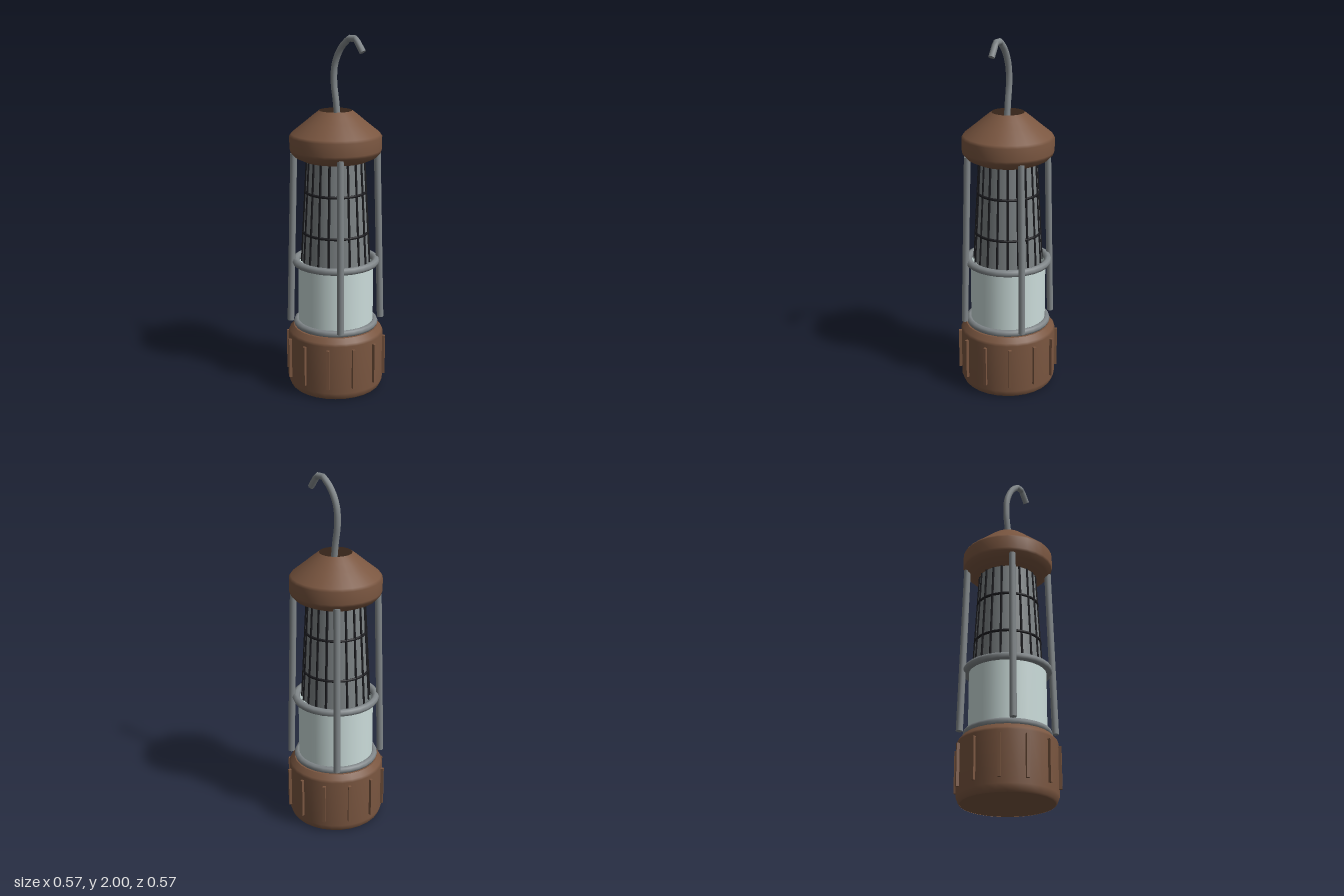
import * as THREE from 'three';

const mat = (name, color, side = THREE.FrontSide) => {
  const m = new THREE.MeshStandardMaterial({ color, side });
  m.name = name;
  return m;
};

export function createModel() {
  const group = new THREE.Group();
  const brown = mat('brown enamel', 0x7a5640, THREE.DoubleSide);
  const steel = mat('steel', 0x81878a);
  const gauze = mat('gauze grey', 0x7c8284, THREE.DoubleSide);
  const wire = mat('dark wire', 0x1c1c20);
  const glass = mat('pale glass', 0xcbdcda, THREE.DoubleSide);
  const brass = mat('brass', 0xc9954f);

  const add = (name, geometry, material, x = 0, y = 0, z = 0) => {
    const mesh = new THREE.Mesh(geometry, material);
    mesh.name = name;
    mesh.position.set(x, y, z);
    group.add(mesh);
    return mesh;
  };
  const lathe = (pts) => new THREE.LatheGeometry(pts.map(([r, y]) => new THREE.Vector2(r, y)), 28);
  const V = (x, y, z) => new THREE.Vector3(x, y, z);
  // straight round bar between two points
  const bar = (name, a, b, r, sides, material) => {
    const mesh = add(name, new THREE.CylinderGeometry(r, r, a.distanceTo(b), sides), material);
    mesh.position.copy(a).add(b).multiplyScalar(0.5);
    mesh.quaternion.setFromUnitVectors(V(0, 1, 0), b.clone().sub(a).normalize());
  };
  const ring = (name, R, r, y, material) => {
    add(name, new THREE.TorusGeometry(R, r, 8, 28), material, 0, y, 0).rotation.x = Math.PI / 2;
  };

  // fuel base with chamfered ends and grip ribs
  add('base', lathe([[0.25, 0], [0.258, 0.008], [0.27, 0.04], [0.27, 0.32], [0.263, 0.335], [0.24, 0.36]]), brown);
  add('baseBottom', new THREE.CircleGeometry(0.25, 28), brown, 0, 0.001, 0).rotation.x = Math.PI / 2;
  add('baseTop', new THREE.CircleGeometry(0.24, 28), brown, 0, 0.36, 0).rotation.x = -Math.PI / 2;
  for (let i = 0; i < 12; i++) {
    const a = (i / 12) * Math.PI * 2;
    add('gripRib', new THREE.BoxGeometry(0.016, 0.23, 0.03), brown,
      Math.sin(a) * 0.27, 0.185, Math.cos(a) * 0.27).rotation.y = a;
  }

  // glass chimney between two rings, with the burner inside
  add('glass', new THREE.CylinderGeometry(0.212, 0.212, 0.36, 32, 1, true), glass, 0, 0.555, 0);
  ring('lowerRing', 0.22, 0.02, 0.378, steel);
  ring('upperRing', 0.225, 0.021, 0.74, steel);
  add('burner', new THREE.SphereGeometry(0.057, 16, 12), brass, 0, 0.5, 0).scale.y = 2.3;

  // tapered gauze bonnet with its wire cage
  const y0 = 0.74, y1 = 1.34, r0 = 0.19, r1 = 0.157;
  const radiusAt = (y) => r0 + (r1 - r0) * (y - y0) / (y1 - y0);
  add('gauzeBonnet', new THREE.CylinderGeometry(r1, r0, y1 - y0, 28, 1, true), gauze, 0, (y0 + y1) / 2, 0);
  for (let i = 0; i < 20; i++) {
    const a = ((i + 0.5) / 20) * Math.PI * 2, s = Math.sin(a), c = Math.cos(a);
    bar('cageWire', V(s * r0, y0, c * r0), V(s * r1, y1, c * r1), 0.007, 6, wire);
  }
  for (const y of [0.91, 1.14]) ring('cageHoop', radiusAt(y), 0.008, y, wire);

  // four leaning guard rods
  for (const sx of [-1, 1]) for (const sz of [-1, 1]) {
    bar('guardRod', V(sx * 0.182, 0.39, sz * 0.182), V(sx * 0.163, 1.355, sz * 0.163), 0.019, 8, steel);
  }

  // hood, open at the crown
  add('hood', lathe([[0.155, 1.315], [0.18, 1.317], [0.225, 1.338], [0.25, 1.365], [0.254, 1.38],
    [0.254, 1.45], [0.244, 1.465], [0.17, 1.525], [0.125, 1.563], [0.09, 1.59]]), brown);

  // hanging hook
  const path = new THREE.CurvePath();
  path.add(new THREE.CatmullRomCurve3([V(0.012, 1.55, 0), V(0.002, 1.64, 0), V(-0.012, 1.74, 0),
    V(-0.005, 1.84, 0), V(0.035, 1.925, 0), V(0.09, 1.98, 0)]));
  path.add(new THREE.LineCurve3(V(0.09, 1.98, 0), V(0.135, 1.98, 0)));
  path.add(new THREE.LineCurve3(V(0.135, 1.98, 0), V(0.182, 1.912, 0)));
  add('hook', new THREE.TubeGeometry(path, 28, 0.018, 8, false), steel);
  const tip = add('hookTip', new THREE.CircleGeometry(0.018, 8), steel, 0.182, 1.912, 0);
  tip.quaternion.setFromUnitVectors(V(0, 0, 1), V(0.047, -0.068, 0).normalize());

  return group;
}
